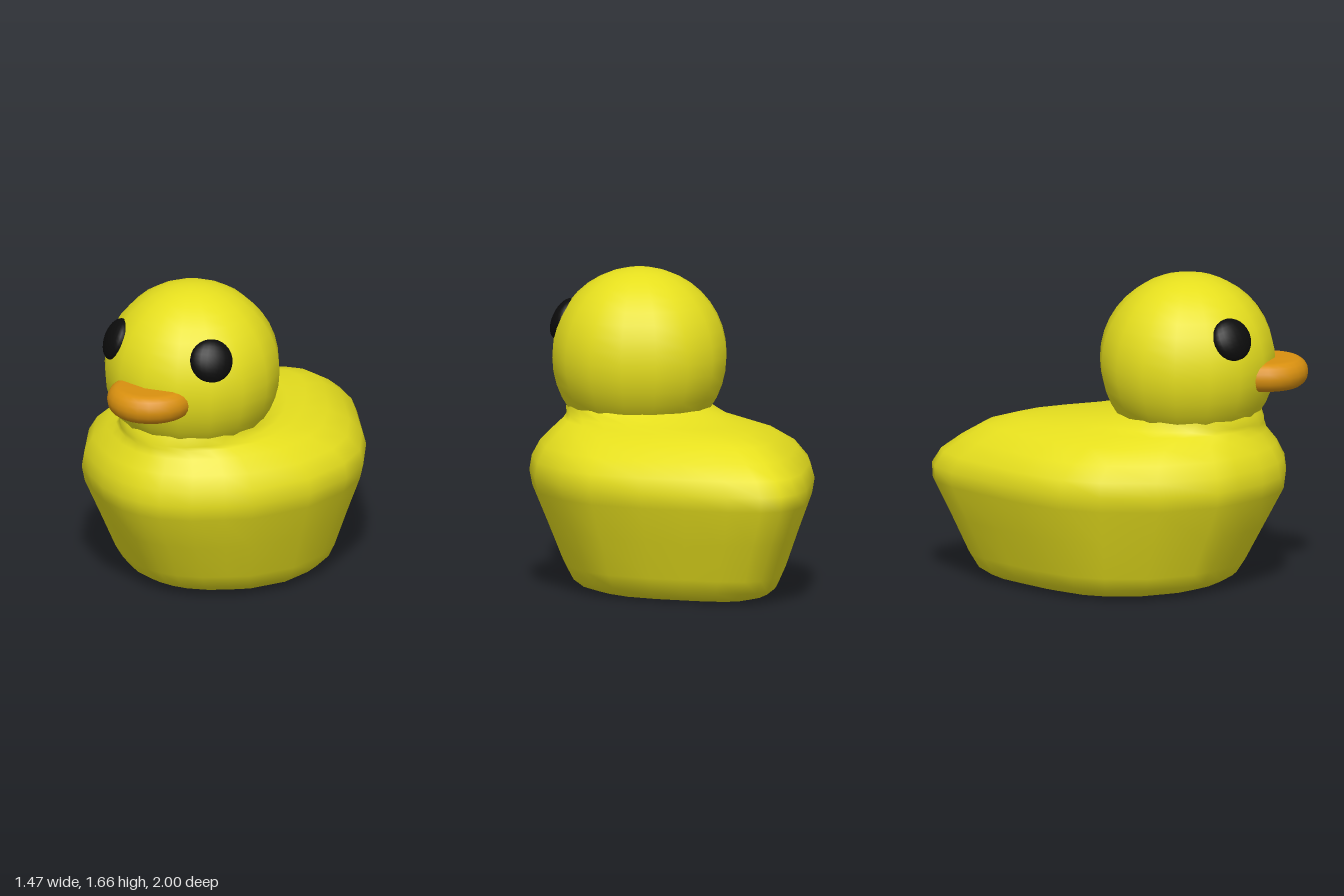
import * as THREE from 'three';

const paint = (color) => new THREE.MeshStandardMaterial({ color });

// Half outline of the body seen from above, front to tail, scaled to 1.
const OUTLINE = [
  [0, 1], [0.16, 0.985], [0.38, 0.91], [0.57, 0.79], [0.73, 0.68], [0.95, 0.34], [1, 0],
  [0.95, -0.22], [0.75, -0.48], [0.545, -0.67], [0.34, -0.86], [0.15, -0.97], [0, -1],
];

// Cross-sections: height, half width, tail z, front z, z of widest point, roundness.
const LEVELS = [
  [0, 0.42, -0.6, 0.45, 0, 0.1],
  [0.02, 0.49, -0.69, 0.55, 0, 0.1],
  [0.06, 0.54, -0.76, 0.62, 0, 0.05],
  [0.13, 0.575, -0.805, 0.665, 0, 0],
  [0.33, 0.645, -0.9, 0.77, 0, 0],
  [0.52, 0.715, -0.995, 0.87, 0, 0],
  [0.6, 0.735, -1, 0.88, 0, 0],
  [0.68, 0.72, -0.95, 0.87, 0, 0],
  [0.76, 0.665, -0.84, 0.83, 0.03, 0.05],
  [0.83, 0.56, -0.72, 0.775, 0.1, 0.15],
  [0.87, 0.45, -0.57, 0.765, 0.22, 0.4],
  [0.89, 0.4, -0.37, 0.765, 0.3, 0.6],
  [0.93, 0.385, -0.015, 0.75, 0.36, 1],
  [1.0, 0.36, 0, 0.72, 0.36, 1],
];

// Lofts the body through its cross-sections.
function bodyGeometry() {
  const half = OUTLINE.length - 1, n = half * 2;
  const pos = [], idx = [];
  for (const [y, w, back, front, mid, round] of LEVELS) {
    for (let i = 0; i < n; i++) {
      const k = i <= half ? i : n - i;
      const side = i <= half ? 1 : -1;
      const a = (k / half) * Math.PI;
      const u = THREE.MathUtils.lerp(OUTLINE[k][0], Math.sin(a), round);
      const v = THREE.MathUtils.lerp(OUTLINE[k][1], Math.cos(a), round);
      pos.push(side * u * w, y, mid + (v > 0 ? v * (front - mid) : -v * (back - mid)));
    }
  }
  for (let j = 0; j < LEVELS.length - 1; j++) {
    for (let i = 0; i < n; i++) {
      const a = j * n + i, b = j * n + (i + 1) % n;
      idx.push(a, b, a + n, b, b + n, a + n);
    }
  }
  // Flat base
  const c = pos.length / 3;
  pos.push(0, 0, -0.05);
  for (let i = 0; i < n; i++) idx.push(c, (i + 1) % n, i);
  const g = new THREE.BufferGeometry();
  g.setAttribute('position', new THREE.Float32BufferAttribute(pos, 3));
  g.setIndex(idx);
  g.computeVertexNormals();
  return g;
}

export function createModel() {
  const group = new THREE.Group();
  const yellow = paint(0xe6df1e), orange = paint(0xd9900f), black = paint(0x0c0c0c);
  const add = (name, geometry, material) => {
    const mesh = new THREE.Mesh(geometry, material);
    mesh.name = name;
    group.add(mesh);
    return mesh;
  };

  add('body', bodyGeometry(), yellow);

  // Head
  const centre = new THREE.Vector3(0, 1.195, 0.36);
  const head = add('head', new THREE.SphereGeometry(0.467, 16, 20), yellow);
  head.position.copy(centre);

  // Bill: a flat pill-edged disc, its rear half sunk into the head
  const profile = [new THREE.Vector2(0, -0.077)];
  for (let i = 0; i <= 8; i++) {
    const a = -Math.PI / 2 + (i / 8) * Math.PI;
    profile.push(new THREE.Vector2(0.16 + 0.07 * Math.cos(a), 0.077 * Math.sin(a)));
  }
  profile.push(new THREE.Vector2(0, 0.077));
  const bill = add('bill', new THREE.LatheGeometry(profile, 24), orange);
  bill.position.set(0, 1.148, 0.765);
  bill.scale.z = 1.02;

  // Eyes: flattened domes facing out from the head
  for (const s of [1, -1]) {
    const eye = add(s > 0 ? 'leftEye' : 'rightEye', new THREE.SphereGeometry(0.115, 20, 14), black);
    const out = new THREE.Vector3(s * 0.305, 0.19, 0.285).normalize();
    eye.position.copy(centre).addScaledVector(out, 0.445);
    eye.quaternion.setFromUnitVectors(new THREE.Vector3(0, 0, 1), out);
    eye.scale.z = 0.5;
  }
  return group;
}
